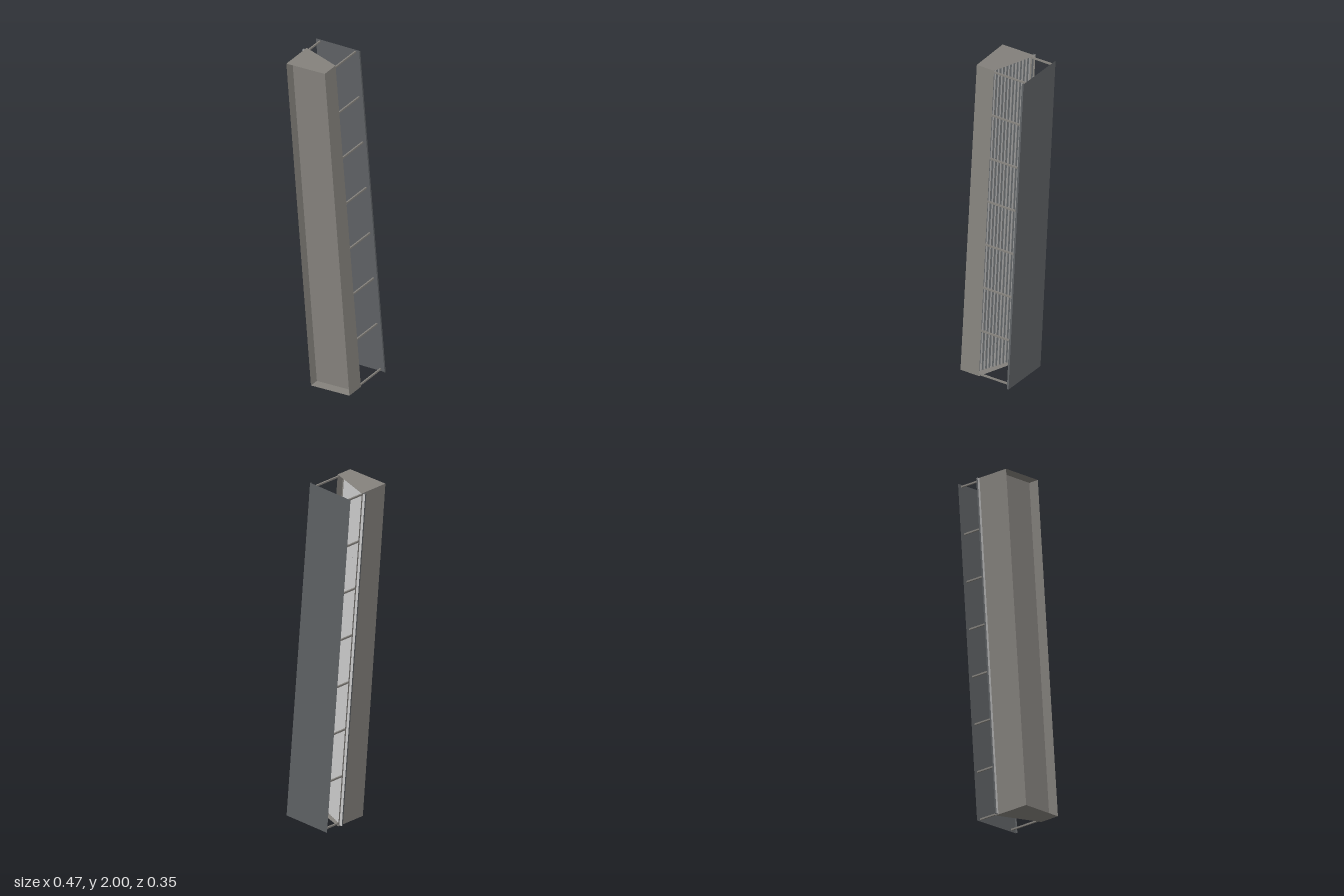
import * as THREE from 'three';

const HALF = 0.99; // half of the length along the leaning axis
const paint = (color) => new THREE.MeshStandardMaterial({ color, flatShading: true, side: THREE.DoubleSide });
const warmGrey = paint(0x85827d);
const darkGrey = paint(0x5f6265);
const pale = paint(0xcccccc);

// Flat sheet through corners [x, y, z] given in order
function sheet(name, material, corners) {
  const geometry = new THREE.BufferGeometry();
  geometry.setAttribute('position', new THREE.Float32BufferAttribute(corners.flat(), 3));
  geometry.setIndex(corners.slice(2).flatMap((_, i) => [0, i + 1, i + 2]));
  geometry.computeVertexNormals();
  const mesh = new THREE.Mesh(geometry, material);
  mesh.name = name;
  return mesh;
}

// Box of given size and centre
function bar(name, material, size, centre) {
  const mesh = new THREE.Mesh(new THREE.BoxGeometry(...size), material);
  mesh.name = name;
  mesh.position.set(...centre);
  return mesh;
}

export function createModel() {
  const model = new THREE.Group();
  const body = new THREE.Group();
  body.name = 'leaningBody';
  body.rotation.z = 0.0835;
  body.position.y = 1;
  model.add(body);

  // Hollow casing, open along its diagonal back, slightly deeper at the foot
  const section = (y) => {
    const d = -0.004 * Math.sign(y);
    return [[-0.137, y, -0.057], [-0.137, y, 0.154 + d], [0.123, y, 0.168 + d], [0.123, y, 0.055]];
  };
  const low = section(-HALF), high = section(HALF);
  const casing = new THREE.Group();
  casing.name = 'casing';
  casing.add(sheet('rightWall', warmGrey, [low[0], low[1], high[1], high[0]]));
  casing.add(sheet('leftWall', warmGrey, [low[2], low[3], high[3], high[2]]));
  casing.add(sheet('topCap', warmGrey, high), sheet('bottomCap', warmGrey, [...low].reverse()));
  // Front plate set back inside the rim
  const recessed = [low[1], low[2], high[2], high[1]].map(([x, y, z]) => [x, y, z - 0.06]);
  casing.add(sheet('recessedFront', warmGrey, recessed));
  body.add(casing);

  // Stepped row of dark slats with pale front and back faces
  const slats = new THREE.Group();
  slats.name = 'slats';
  const slatFaces = [darkGrey, darkGrey, darkGrey, darkGrey, pale, pale];
  for (let i = 0; i < 13; i++) {
    const z = i === 0 ? -0.042 : -0.0343 + 0.0103 * i;
    slats.add(bar('slat', slatFaces, [0.017, 2 * HALF - 0.006, 0.01], [-0.145 + 0.0197 * i, 0, z]));
  }
  body.add(slats);

  // Back panel with a narrow flange bent forward along one edge
  const panel = new THREE.Group();
  panel.name = 'backPanel';
  const strip = (name, [x0, z0], [x1, z1]) =>
    sheet(name, darkGrey, [[x0, -HALF, z0], [x0, HALF, z0], [x1, HALF, z1], [x1, -HALF, z1]]);
  panel.add(strip('panelSheet', [-0.153, -0.175], [0.153, -0.149]));
  panel.add(strip('panelFlange', [0.153, -0.149], [0.153, -0.138]));
  body.add(panel);

  // Pairs of spacer rods between casing and panel
  const rods = new THREE.Group();
  rods.name = 'spacerRods';
  for (const [x, back, front] of [[-0.1265, -0.172, -0.028], [0.119, -0.151, 0.058]]) {
    for (let i = 0; i < 8; i++) {
      const y = -0.978 + (i * 1.956) / 7;
      rods.add(bar('spacerRod', warmGrey, [0.009, 0.009, front - back], [x, y, (back + front) / 2]));
    }
  }
  body.add(rods);
  return model;
}
